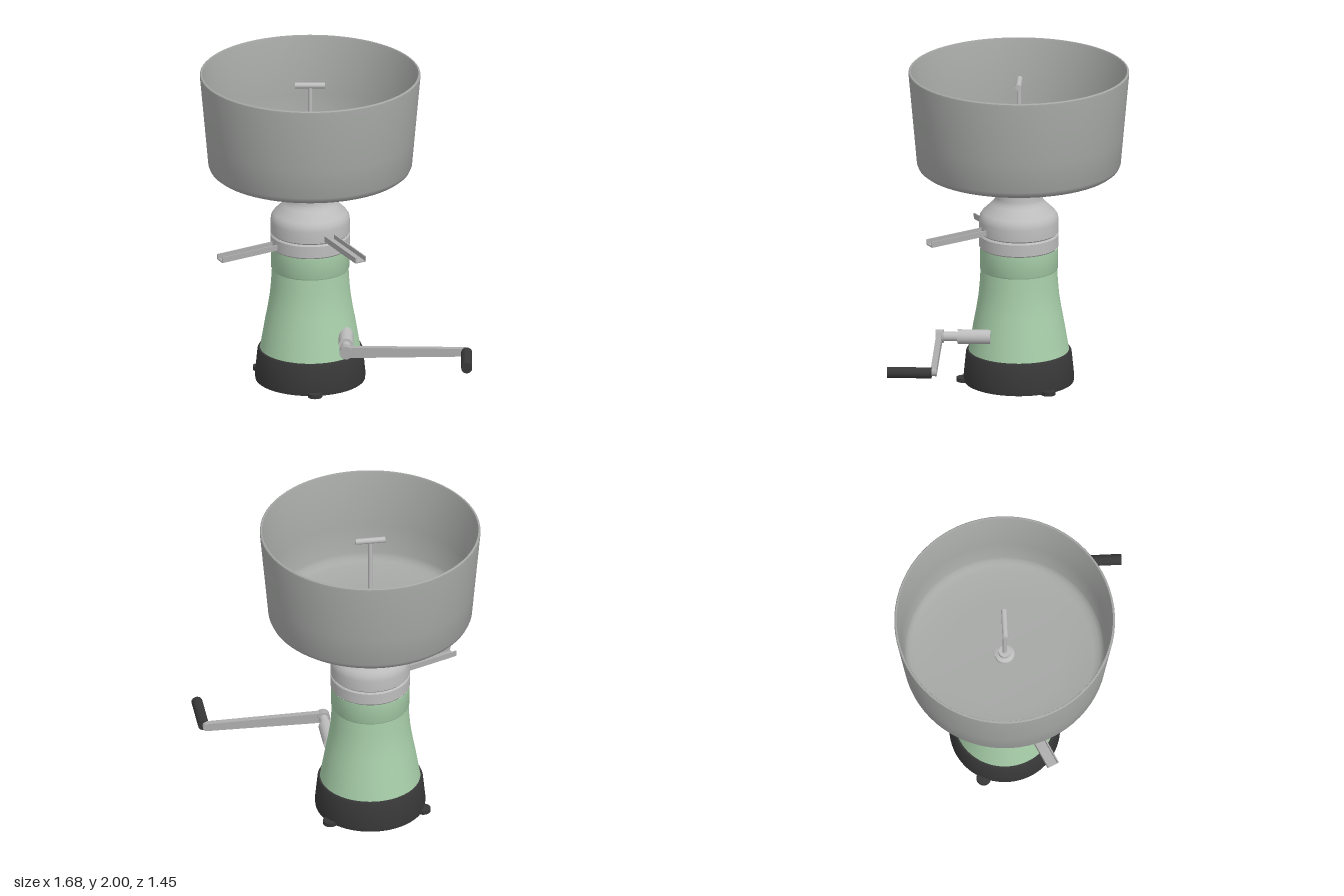
import * as THREE from 'three';
import { toCreasedNormals } from 'three/addons/utils/BufferGeometryUtils.js';

const mat = (name, color) => {
  const m = new THREE.MeshStandardMaterial({ color });
  m.name = name;
  return m;
};

export function createModel() {
  const root = new THREE.Group();
  root.name = 'creamSeparator';
  const bowlGrey = mat('bowlGrey', 0xa6a8a6);
  const lightGrey = mat('lightGrey', 0xbdbdbd);
  const metalGrey = mat('metalGrey', 0xadadad);
  const green = mat('paleGreen', 0xa8cfaa);
  const black = mat('black', 0x383838);

  // Everything turned sits on the body axis
  const body = new THREE.Group();
  body.name = 'body';
  body.position.set(-0.16, 0, -0.04);
  root.add(body);

  const add = (parent, name, geometry, material, x = 0, y = 0, z = 0) => {
    const m = new THREE.Mesh(geometry, material);
    m.name = name;
    m.position.set(x, y, z);
    parent.add(m);
    return m;
  };
  const lathe = (name, pts, material) => add(body, name, toCreasedNormals(
    new THREE.LatheGeometry(pts.map(([r, y]) => new THREE.Vector2(r, y)), 72), 0.5), material);

  // Base with three feet
  lathe('base', [[0, 0.004], [0.338, 0.004], [0.341, 0.03], [0.325, 0.19], [0.318, 0.205], [0, 0.205]], black);
  for (let i = 0; i < 3; i++) {
    const a = THREE.MathUtils.degToRad(5 + i * 120);
    add(body, 'foot', new THREE.CylinderGeometry(0.045, 0.045, 0.025, 20), black,
      0.34 * Math.sin(a), 0.0125, 0.34 * Math.cos(a));
  }

  // Flared green housing
  lathe('housing', [[0.31, 0.2], [0.296, 0.28], [0.279, 0.38], [0.262, 0.47], [0.248, 0.56], [0.241, 0.64],
    [0.236, 0.725], [0.241, 0.735], [0.241, 0.868]], green);

  // Collecting rings, shoulder, neck and flange
  lathe('lowerRing', [[0, 0.866], [0.238, 0.866], [0.245, 0.875], [0.245, 0.948], [0.238, 0.957], [0, 0.957]], lightGrey);
  lathe('upperCover', [[0, 0.96], [0.238, 0.96], [0.245, 0.968], [0.245, 1.04], [0.24, 1.07], [0.225, 1.092],
    [0.165, 1.15], [0.15, 1.17], [0.145, 1.19], [0.145, 1.25], [0.155, 1.268], [0.185, 1.29], [0.22, 1.3],
    [0.3, 1.31], [0.315, 1.315], [0.32, 1.322], [0.32, 1.342], [0.313, 1.35], [0, 1.352]], lightGrey);

  // Thin-walled supply bowl
  lathe('bowl', [[0, 1.35], [0.36, 1.353], [0.56, 1.362], [0.598, 1.37], [0.617, 1.385], [0.628, 1.41],
    [0.645, 1.6], [0.68, 1.985], [0.679, 1.995], [0.674, 2], [0.667, 2], [0.663, 1.99], [0.632, 1.62],
    [0.614, 1.44], [0.605, 1.415], [0.585, 1.395], [0.55, 1.382], [0.36, 1.372], [0, 1.365]], bowlGrey);

  // Tap in the middle of the bowl
  lathe('tapPlug', [[0.06, 1.36], [0.06, 1.39], [0.037, 1.4], [0.037, 1.43], [0, 1.43]], lightGrey);
  add(body, 'tapStem', new THREE.CylinderGeometry(0.013, 0.013, 0.52, 16), lightGrey, 0, 1.66, 0);
  add(body, 'tapBar', new THREE.CylinderGeometry(0.018, 0.018, 0.185, 20), lightGrey, 0, 1.92, 0)
    .rotation.z = Math.PI / 2;

  // Open U-shaped spouts, tilted slightly down
  const w = 0.037, h = 0.036, t = 0.008;
  const channel = new THREE.Shape([[-w, 0], [w, 0], [w, h], [w - t, h], [w - t, t], [t - w, t], [t - w, h], [-w, h]]
    .map(([x, y]) => new THREE.Vector2(x, y)));
  const spout = (name, y, degrees) => {
    const g = new THREE.ExtrudeGeometry(channel, { depth: 0.42, bevelEnabled: false });
    g.translate(0, 0, 0.2);
    const m = add(body, name, g, metalGrey, 0, y, 0);
    m.rotation.set(0.055, THREE.MathUtils.degToRad(degrees), 0, 'YXZ');
  };
  spout('upperSpout', 0.99, 30);
  spout('lowerSpout', 0.9, -64);

  // Crank: bearing, shaft, tapered arm and grip
  const crank = new THREE.Group();
  crank.name = 'crank';
  crank.position.set(0.06, 0.347, 0);
  root.add(crank);
  const rod = (name, r, z0, z1, material, x = 0) => add(crank, name,
    new THREE.CylinderGeometry(r, r, z1 - z0, 28).rotateX(Math.PI / 2), material, x, 0, (z0 + z1) / 2);
  rod('bearing', 0.045, 0.124, 0.327, lightGrey);
  rod('shaft', 0.029, 0.32, 0.42, lightGrey);
  const arm = new THREE.Shape();
  arm.moveTo(0.01, -0.034);
  arm.lineTo(0.72, -0.025);
  arm.absarc(0.725, 0, 0.025, -Math.PI / 2, Math.PI / 2);
  arm.lineTo(0.01, 0.034);
  arm.closePath();
  add(crank, 'arm', new THREE.ExtrudeGeometry(arm, { depth: 0.036, bevelEnabled: false }), metalGrey, 0, 0, 0.42);
  rod('hub', 0.041, 0.412, 0.462, metalGrey);
  rod('grip', 0.034, 0.45, 0.725, black, 0.742);

  return root;
}
